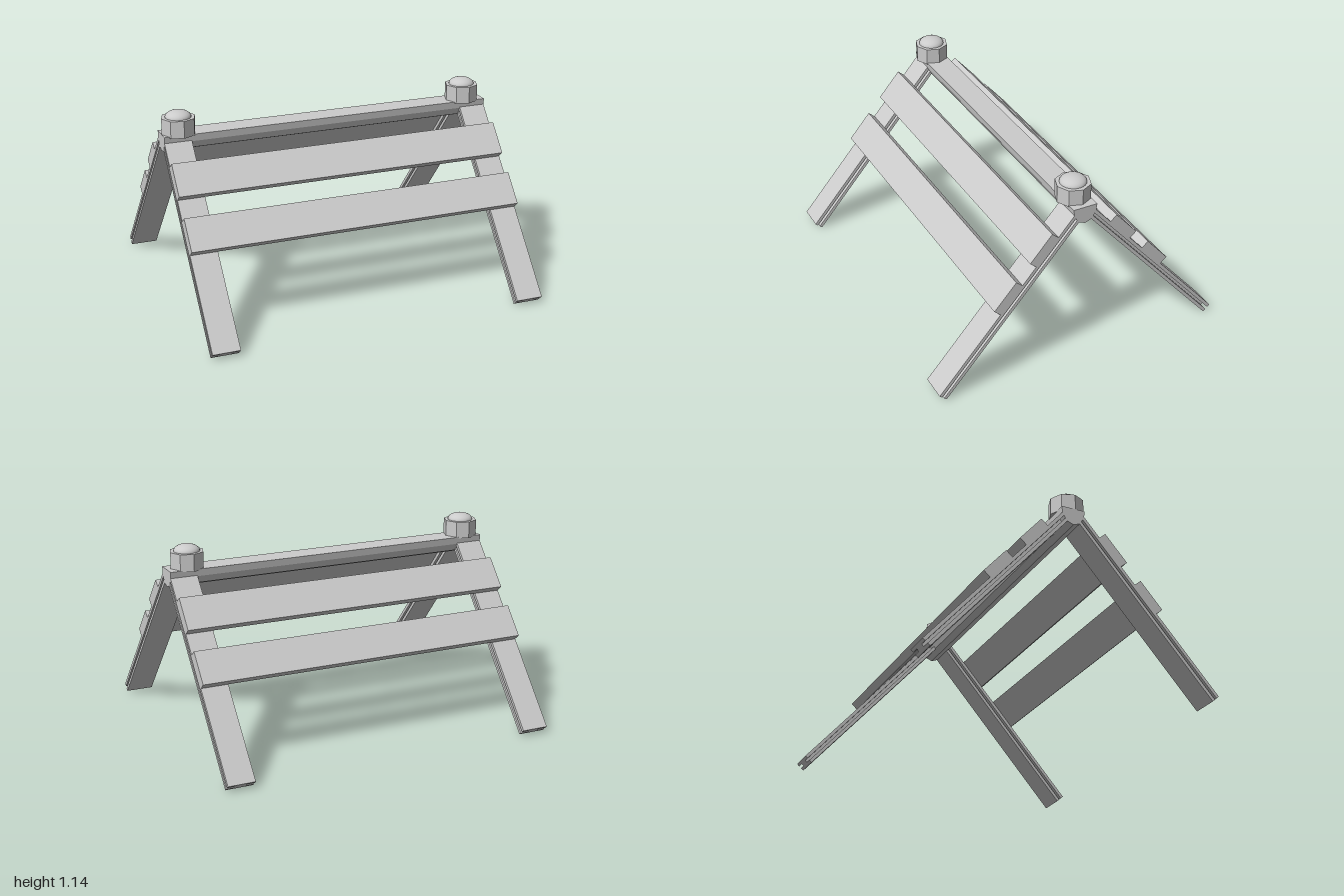
import * as THREE from 'three';

const smooth = new THREE.MeshStandardMaterial({ color: 0xcccccc });
const flat = new THREE.MeshStandardMaterial({ color: 0xcccccc, flatShading: true });

function add(parent, name, geometry, material = flat) {
  const mesh = new THREE.Mesh(geometry, material);
  mesh.name = name;
  parent.add(mesh);
  return mesh;
}

function polygon(points) {
  return new THREE.Shape(points.map(([x, y]) => new THREE.Vector2(x, y)));
}

// Leg with an H-shaped section: a slot runs along each narrow side.
function legGeometry(length) {
  const w = 0.08, t = 0.0275, web = 0.033, slot = 0.008;
  const section = polygon([
    [-w, -t], [w, -t], [w, -slot], [web, -slot], [web, slot], [w, slot],
    [w, t], [-w, t], [-w, slot], [-web, slot], [-web, -slot], [-w, -slot],
  ]);
  return new THREE.ExtrudeGeometry(section, { depth: length, bevelEnabled: false })
    .rotateX(-Math.PI / 2);
}

// One leaning side: local y runs up the legs, local z points outward.
function createSide(name) {
  const side = new THREE.Group();
  side.name = name;
  const frame = new THREE.Group();
  frame.name = name + 'Frame';
  frame.position.set(0, 0.037, 0.88);
  frame.rotation.x = -0.717;
  side.add(frame);

  for (const [label, x] of [['rightLeg', -0.92], ['leftLeg', 0.92]]) {
    add(frame, label, legGeometry(1.25)).position.set(x, 0, -0.0275);
  }
  for (const [label, y] of [['lowerBoard', 0.668], ['upperBoard', 0.994]]) {
    add(frame, label, new THREE.BoxGeometry(2, 0.2, 0.05)).position.set(0, y, 0.025);
  }
  return side;
}

// Warning lamp: eight-sided housing with a low dome lens.
function createLamp(name, x) {
  const lamp = new THREE.Group();
  lamp.name = name;
  lamp.position.set(x, 1, 0.008);
  const housing = add(lamp, 'lampHousing', new THREE.CylinderGeometry(0.1, 0.1, 0.1, 8));
  housing.position.y = 0.05;
  housing.rotation.y = 0.06;
  const lens = new THREE.SphereGeometry(0.075, 24, 10, 0, Math.PI * 2, 0, Math.PI / 2);
  lens.scale(1, 0.53, 1);
  add(lamp, 'lampLens', lens, smooth).position.y = 0.1;
  return lamp;
}

export function createModel() {
  const model = new THREE.Group();
  model.name = 'foldingBarricade';

  const front = createSide('frontSide');
  const back = createSide('backSide');
  back.rotation.y = Math.PI;
  model.add(front, back);

  // Ridge rail with a shallow keel underneath
  const ridge = polygon([
    [-0.072, 1.007], [-0.066, 0.965], [-0.042, 0.921], [0, 0.905],
    [0.042, 0.921], [0.066, 0.965], [0.072, 1.007],
  ]);
  const rail = new THREE.ExtrudeGeometry(ridge, { depth: 2, bevelEnabled: false });
  rail.translate(0, 0, -1).rotateY(Math.PI / 2);
  add(model, 'topRail', rail);

  model.add(createLamp('rightLamp', -0.9), createLamp('leftLamp', 0.874));
  return model;
}
